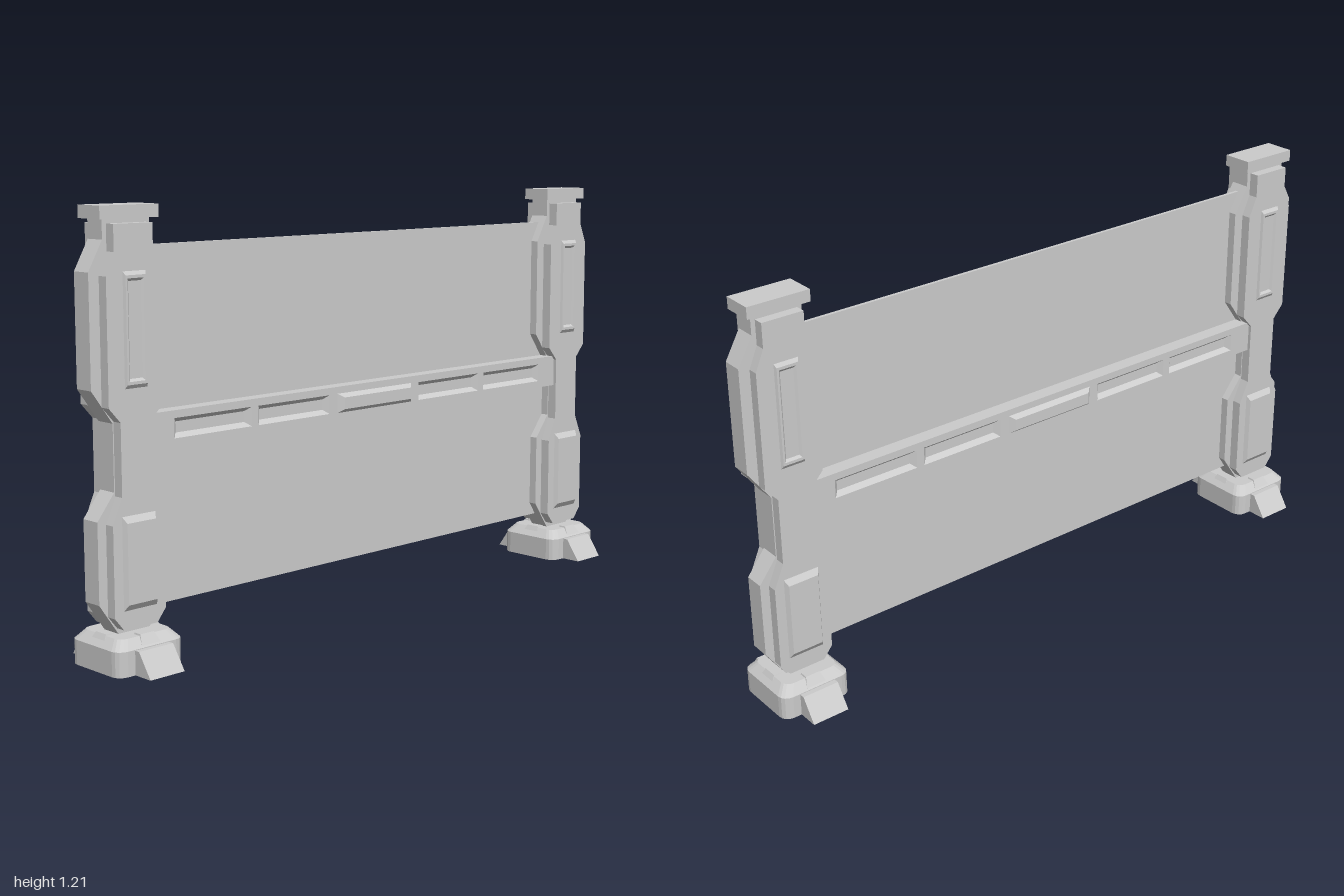
import * as THREE from 'three';

const material = new THREE.MeshStandardMaterial({ color: 0xcccccc, flatShading: true });

function add(parent, name, geometry) {
  const mesh = new THREE.Mesh(geometry, material);
  mesh.name = name;
  parent.add(mesh);
  return mesh;
}

// Skin through matching loops (counter-clockwise seen from the last loop's side), last loop capped.
function loft(loops, capStart = false) {
  const pos = [];
  const tri = (...pts) => pts.forEach((p) => pos.push(...p));
  const n = loops[0].length;
  for (let k = 0; k + 1 < loops.length; k++) {
    const a = loops[k], b = loops[k + 1];
    for (let i = 0; i < n; i++) {
      const j = (i + 1) % n;
      tri(a[i], a[j], b[j]);
      tri(a[i], b[j], b[i]);
    }
  }
  const end = loops[loops.length - 1], start = loops[0];
  for (let i = 1; i + 1 < n; i++) {
    tri(end[0], end[i], end[i + 1]);
    if (capStart) tri(start[0], start[i + 1], start[i]);
  }
  const geometry = new THREE.BufferGeometry();
  geometry.setAttribute('position', new THREE.Float32BufferAttribute(pos, 3));
  geometry.computeVertexNormals();
  return geometry;
}

// Rectangle facing +x
const sideRect = (x, y, z, h, w) =>
  [[x, y - h, z - w], [x, y + h, z - w], [x, y + h, z + w], [x, y - h, z + w]];

// Rounded rectangle facing +y
function roundRect(y, hx, hz, r) {
  const loop = [];
  for (const [sx, sz, start] of [[1, 1, 0], [-1, 1, 1], [-1, -1, 2], [1, -1, 3]]) {
    for (let i = 0; i <= 4; i++) {
      const a = (start + i / 4) * Math.PI / 2;
      loop.push([sx * (hx - r) + r * Math.cos(a), y, sz * (hz - r) + r * Math.sin(a)]);
    }
  }
  return loop.reverse();
}

// Extrusion of a (z, y) shape along x, centred on x = 0
function extrudeX(shape, depth) {
  const geometry = new THREE.ExtrudeGeometry(shape, { depth, bevelEnabled: false });
  return geometry.translate(0, 0, -depth / 2).rotateY(-Math.PI / 2);
}

// Symmetric outline from half widths [z, y], listed upwards
function outline(half) {
  const left = half.map(([z, y]) => [-z, y]).reverse();
  return new THREE.Shape([...half, ...left].map(([z, y]) => new THREE.Vector2(z, y)));
}

function rectPath(z, y, w, h) {
  return new THREE.Path([[-w, -h], [-w, h], [w, h], [w, -h]].map(([a, b]) => new THREE.Vector2(z + a, y + b)));
}

function createPost() {
  const post = new THREE.Group();
  post.name = 'post';

  // Wide central core between two narrower side plates
  add(post, 'postCore', extrudeX(outline([
    [0.045, 0.085], [0.11, 0.18], [0.11, 0.4], [0.055, 0.47],
    [0.055, 0.65], [0.12, 0.74], [0.12, 1.04], [0.075, 1.12], [0.075, 1.175],
  ]), 0.06));
  for (const side of [1, -1]) {
    const plate = add(post, 'sidePlate', extrudeX(outline([
      [0.055, 0.11], [0.083, 0.145], [0.083, 0.39], [0.052, 0.46],
      [0.052, 0.655], [0.088, 0.695], [0.088, 1.03], [0.062, 1.09], [0.062, 1.16],
    ]), 0.03));
    plate.position.x = side * 0.045;

    // Slotted upper pad and plain lower pad
    const pads = new THREE.Group();
    pads.name = 'sidePads';
    add(pads, 'upperPad', loft([
      sideRect(0.06, 0.89, 0, 0.15, 0.036), sideRect(0.067, 0.89, 0, 0.14, 0.032),
      sideRect(0.067, 0.89, 0, 0.132, 0.026), sideRect(0.061, 0.89, 0, 0.125, 0.02),
    ]));
    add(pads, 'lowerPad', loft([
      sideRect(0.06, 0.285, 0, 0.125, 0.054), sideRect(0.072, 0.285, 0, 0.108, 0.046),
    ]));
    if (side < 0) pads.rotation.y = Math.PI;
    post.add(pads);
  }

  // Top cap
  add(post, 'cap', new THREE.BoxGeometry(0.092, 0.034, 0.186)).position.y = 1.189;

  // Foot block with sloped shoulder
  add(post, 'base', loft([
    roundRect(0, 0.106, 0.109, 0.03), roundRect(0.068, 0.106, 0.109, 0.03),
    roundRect(0.094, 0.083, 0.085, 0.025),
  ], true));
  // Small blocks on the four shoulders
  for (let i = 0; i < 4; i++) {
    const block = add(post, 'shoulderBlock', loft([
      [[-0.032, 0.068, 0.105], [0.032, 0.068, 0.105], [0.032, 0.068, 0.06], [-0.032, 0.068, 0.06]],
      [[-0.022, 0.098, 0.085], [0.022, 0.098, 0.085], [0.022, 0.098, 0.06], [-0.022, 0.098, 0.06]],
    ]));
    block.rotation.y = i * Math.PI / 2;
  }
  // Sloped wedge through both sides of the foot
  const wedge = new THREE.Shape([[-0.168, 0], [0.168, 0], [0.122, 0.066], [-0.122, 0.066]]
    .map(([x, y]) => new THREE.Vector2(x, y)));
  add(post, 'footWedge', new THREE.ExtrudeGeometry(wedge, { depth: 0.112, bevelEnabled: false })
    .translate(0, 0, -0.056));
  return post;
}

function createBeam() {
  const beam = new THREE.Group();
  beam.name = 'crossBeam';
  const y = 0.618, halfLength = 0.84;
  add(beam, 'beamCore', new THREE.BoxGeometry(0.068, 0.096, 2 * halfLength)).position.y = y;

  const recesses = [0.615, 0.32, -0.32, -0.615];
  for (const side of [1, -1]) {
    const face = new THREE.Group();
    face.name = 'beamFace';
    // Face plate pierced by four trays
    const shape = outline([[halfLength, y - 0.048], [halfLength, y + 0.048]]);
    for (const z of recesses) shape.holes.push(rectPath(z, y, 0.135, 0.027));
    add(face, 'facePlate', extrudeX(shape, 0.016).translate(0.042, 0, 0));
    for (const z of recesses) {
      add(face, 'recessedTray', loft([
        sideRect(0.05, y, z, 0.027, 0.135), sideRect(0.035, y, z, 0.015, 0.12),
      ]));
    }
    // Raised centre pad
    add(face, 'centrePad', loft([
      sideRect(0.05, y, 0, 0.028, 0.153), sideRect(0.064, y, 0, 0.017, 0.138),
    ]));
    if (side < 0) face.rotation.y = Math.PI;
    beam.add(face);
  }
  return beam;
}

export function createModel() {
  const model = new THREE.Group();
  model.name = 'barrier';

  // Two mirrored end posts
  for (const side of [1, -1]) {
    const post = createPost();
    post.position.z = side * 0.88;
    if (side < 0) post.rotation.y = Math.PI;
    model.add(post);
  }

  // Thin panel held between the posts, with the beam across it
  add(model, 'panel', new THREE.BoxGeometry(0.01, 0.96, 1.68)).position.y = 0.62;
  model.add(createBeam());
  return model;
}
